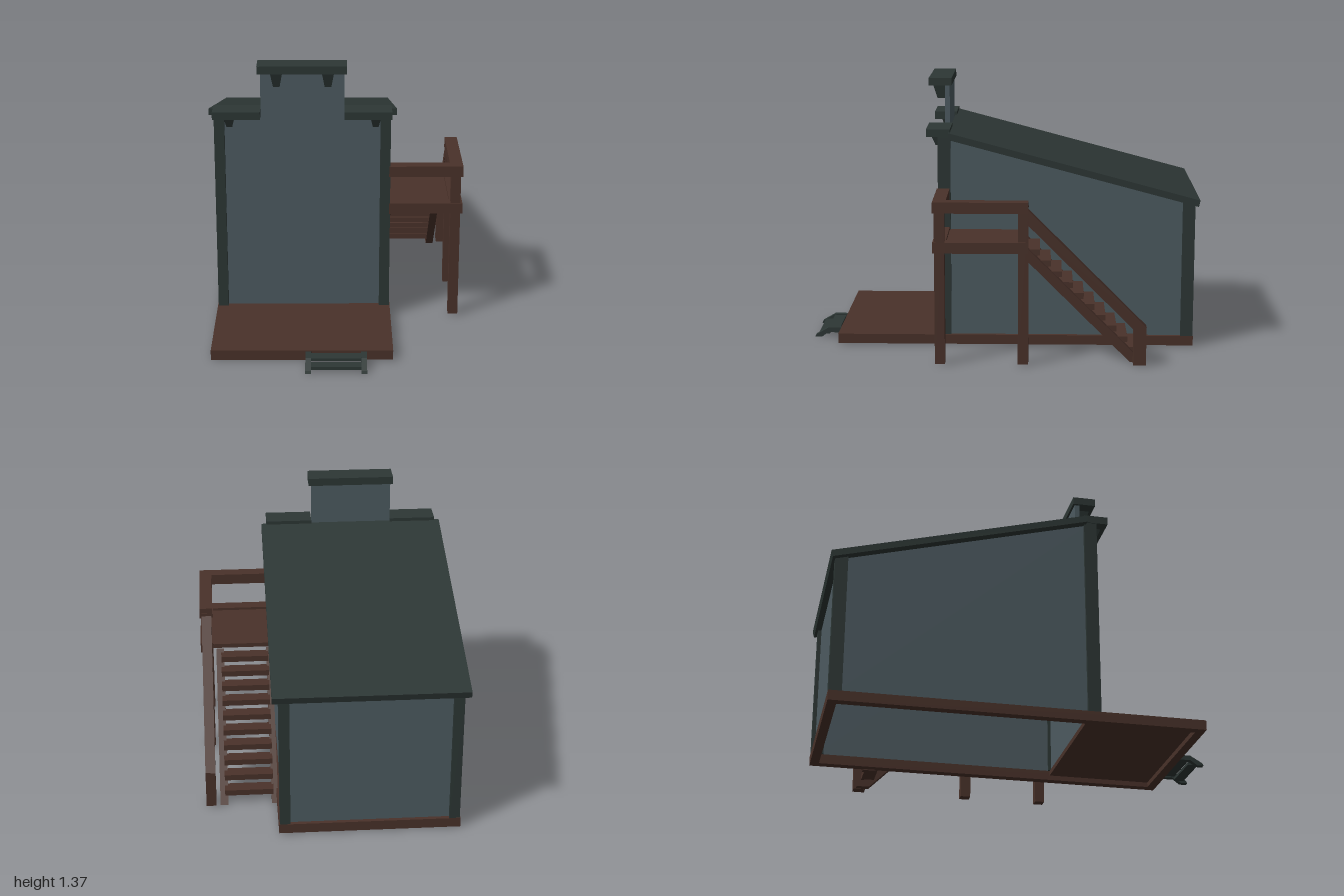
import * as THREE from 'three';

export function createModel() {
  const group = new THREE.Group();
  const mat = (name, color) => {
    const m = new THREE.MeshStandardMaterial({ color });
    m.name = name;
    return m;
  };
  const wall = mat('slate wall', 0x4e5c62);
  const trim = mat('dark trim', 0x2d3735);
  const wood = mat('brown wood', 0x4a322a);

  const add = (name, geo, material) => {
    const mesh = new THREE.Mesh(geo, material);
    mesh.name = name;
    group.add(mesh);
    return mesh;
  };
  // box given by its limits on each axis
  const box = (name, m, x0, x1, y0, y1, z0, z1) => {
    const g = new THREE.BoxGeometry(x1 - x0, y1 - y0, z1 - z0);
    g.translate((x0 + x1) / 2, (y0 + y1) / 2, (z0 + z1) / 2);
    return add(name, g, m);
  };
  const extrude = (pts, depth) => new THREE.ExtrudeGeometry(
    new THREE.Shape(pts.map(p => new THREE.Vector2(p[0], p[1]))),
    { depth, bevelEnabled: false });
  // side profile of [z, y] points, swept from x0 to x1
  const profile = (name, m, pts, x0, x1) => {
    const g = extrude(pts, x1 - x0);
    g.rotateY(-Math.PI / 2);
    g.translate(x1, 0, 0);
    return add(name, g, m);
  };

  const L = -0.62, R = 0.275, F = 0.86, B = -0.98;
  const under = z => 1.08 + (z - 0.28) * 0.2656; // underside of the roof

  // base rim, open under the house, and front deck
  box('baseRimLeft', wood, R - 0.045, R, 0.005, 0.055, B, F);
  box('baseRimRight', wood, L, L + 0.045, 0.005, 0.055, B, F);
  box('baseRimFront', wood, L + 0.045, R - 0.045, 0.005, 0.055, F - 0.045, F);
  box('baseRimBack', wood, L + 0.045, R - 0.045, 0.005, 0.055, B, B + 0.045);
  box('frontDeck', wood, L + 0.045, R - 0.045, 0.03, 0.055, 0.28, F - 0.045);

  // walls: stepped false front, sloping sides, low back
  const front = extrude([[-0.59, 0.05], [0.245, 0.05], [0.245, 1.1], [0.037, 1.1],
    [0.037, 1.33], [-0.382, 1.33], [-0.382, 1.1], [-0.59, 1.1]], 0.025);
  front.translate(0, 0, 0.285);
  add('frontWall', front, wall);
  const side = [[-0.95, 0.05], [0.29, 0.05], [0.29, under(0.29)], [-0.95, under(-0.95)]];
  profile('leftWall', wall, side, R - 0.045, R - 0.02);
  profile('rightWall', wall, side, L + 0.02, L + 0.045);
  box('backWall', wall, L + 0.03, R - 0.03, 0.05, under(-0.95), -0.96, -0.935);

  // corner posts
  for (const x of [L + 0.004, R - 0.056]) {
    box('frontCornerPost', trim, x, x + 0.052, 0.055, 1.09, 0.27, 0.335);
    profile('backCornerPost', trim, [[-0.978, 0.055], [-0.915, 0.055],
      [-0.915, under(-0.915)], [-0.978, under(-0.978)]], x, x + 0.052);
  }

  // sloping roof
  profile('roof', trim, [[0.28, 1.08], [0.28, 1.115], [-1, 0.775], [-0.992, 0.742]],
    -0.645, 0.302);

  // cornice caps and tapered brackets
  box('upperCap', trim, -0.395, 0.05, 1.325, 1.365, 0.275, 0.393);
  box('rightCap', trim, L, -0.382, 1.09, 1.13, 0.272, 0.393);
  box('leftCap', trim, 0.037, R, 1.09, 1.13, 0.272, 0.393);
  const bracket = (cx, top, h, w, depth) => {
    const g = new THREE.BoxGeometry(w, h, depth);
    const p = g.attributes.position;
    for (let i = 0; i < p.count; i++) {
      if (p.getY(i) > 0) continue;
      p.setX(i, p.getX(i) * 0.55);
      if (p.getZ(i) > 0) p.setZ(i, depth * 0.15);
    }
    g.computeVertexNormals();
    g.translate(cx, top - h / 2, 0.31 + depth / 2);
    add('corniceBracket', g, trim);
  };
  for (const x of [-0.3, -0.044]) bracket(x, 1.325, 0.075, 0.06, 0.065);
  for (const x of [-0.537, 0.194]) bracket(x, 1.09, 0.05, 0.052, 0.06);

  // small front step
  for (const x of [-0.155, 0.117]) {
    profile('stepStringer', trim, [[0.86, 0.025], [0.93, 0.025], [0.965, 0], [1, 0],
      [0.995, 0.012], [0.93, 0.05], [0.86, 0.05]], x, x + 0.028);
  }
  box('upperStep', trim, -0.127, 0.117, 0.033, 0.046, 0.868, 0.93);
  box('lowerStep', trim, -0.127, 0.117, 0.01, 0.025, 0.925, 0.978);

  // side landing with matching lower band and hand rail
  box('landingFloor', wood, 0.26, 0.58, 0.59, 0.612, -0.12, 0.28);
  for (const [name, y] of [['landingBand', 0.57], ['landingRail', 0.77]]) {
    box(name + 'Front', wood, R - 0.01, 0.64, y, y + 0.055, 0.275, 0.34);
    box(name + 'Side', wood, 0.575, 0.64, y, y + 0.055, -0.13, 0.275);
  }
  box('landingFrontPost', wood, 0.58, 0.63, 0.005, 0.8, 0.282, 0.332);
  box('landingBackPost', wood, 0.58, 0.63, 0.005, 0.8, -0.132, -0.08);

  // stair: treads, stringers and sloping rail
  for (let i = 0; i < 10; i++) {
    const y = 0.57 - 0.0555 * i, z = -0.12 - 0.055 * i;
    box('stairTread', wood, 0.29, 0.535, y - 0.03, y, z - 0.067, z);
  }
  for (const [x0, x1] of [[0.268, 0.3], [0.52, 0.56]]) {
    profile('stairStringer', wood, [[-0.12, 0.52], [-0.12, 0.585], [-0.705, 0],
      [-0.64, 0]], x0, x1);
  }
  profile('stairRail', wood, [[-0.12, 0.72], [-0.12, 0.795], [-0.717, 0.198],
    [-0.655, 0.185]], 0.58, 0.63);
  box('stairRailPost', wood, 0.58, 0.63, 0.005, 0.2, -0.716, -0.653);

  return group;
}
